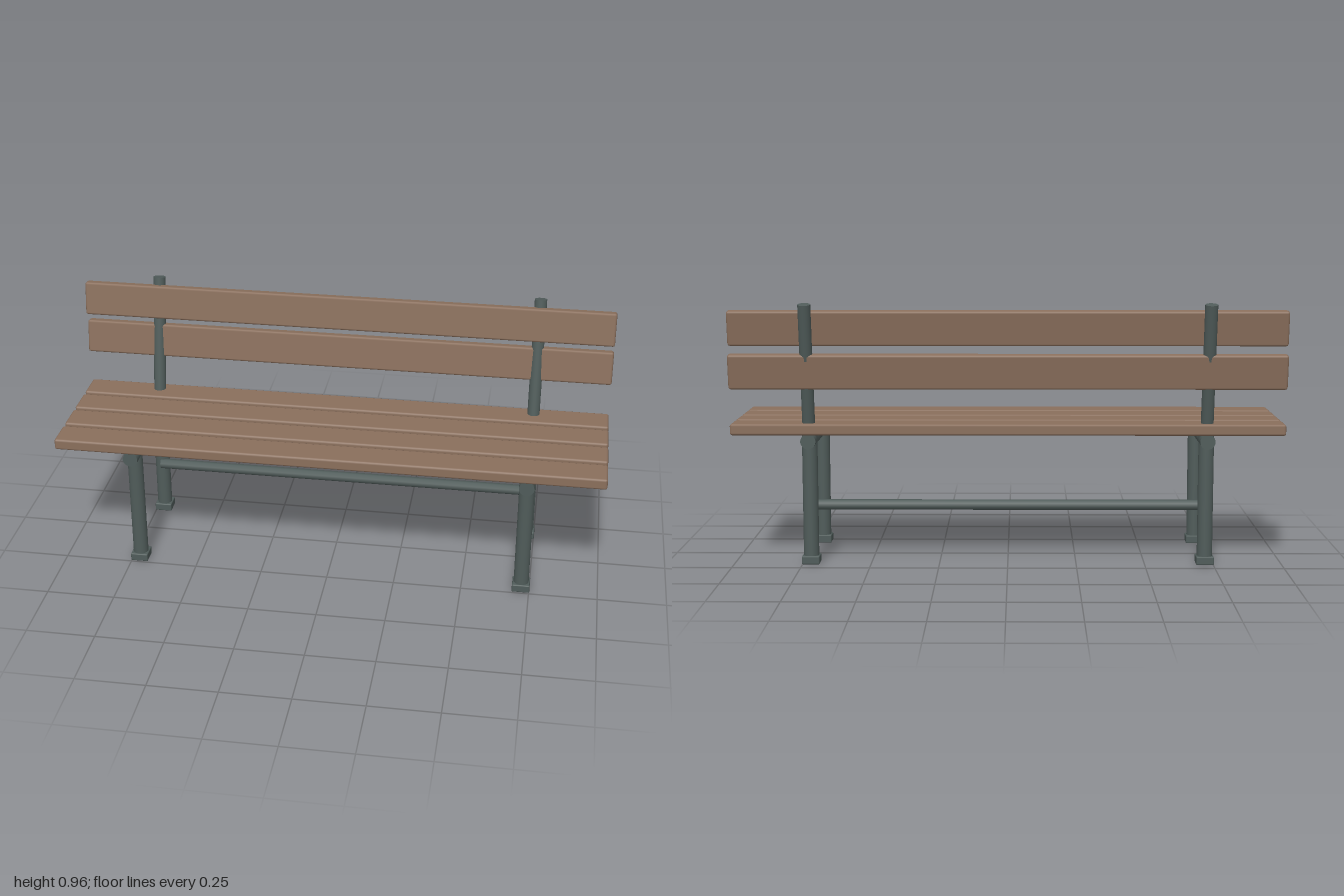
import * as THREE from 'three';
import { RoundedBoxGeometry } from 'three/addons/geometries/RoundedBoxGeometry.js';

const wood = new THREE.MeshStandardMaterial({ color: 0x8a6f5c });
const metal = new THREE.MeshStandardMaterial({ color: 0x505c5a });

export function createModel() {
  const bench = new THREE.Group();
  bench.name = 'bench';

  const add = (name, geometry, material, x, y, z) => {
    const mesh = new THREE.Mesh(geometry, material);
    mesh.name = name;
    mesh.position.set(x, y, z);
    bench.add(mesh);
    return mesh;
  };

  // Round bar running between two points
  const bar = (name, radius, from, to, sides = 20) => {
    const a = new THREE.Vector3(...from);
    const b = new THREE.Vector3(...to);
    const dir = b.clone().sub(a);
    const mid = a.clone().add(b).multiplyScalar(0.5);
    const geometry = new THREE.CylinderGeometry(radius, radius, dir.length(), sides);
    geometry.rotateY(Math.PI / sides);
    const mesh = add(name, geometry, metal, mid.x, mid.y, mid.z);
    mesh.quaternion.setFromUnitVectors(new THREE.Vector3(0, 1, 0), dir.normalize());
    return mesh;
  };

  // Seat slats
  for (let i = 0; i < 4; i++) {
    add('seatSlat', new RoundedBoxGeometry(2, 0.041, 0.115, 1, 0.008), wood, 0, 0.501, 0.23 - i * 0.1335);
  }

  // Backrest slats, leaning back
  for (const y of [0.712, 0.868]) {
    const slat = add('backSlat', new RoundedBoxGeometry(2, 0.126, 0.039, 1, 0.008), wood, 0, y, -0.225);
    slat.rotation.x = THREE.MathUtils.degToRad(-8);
  }

  // Two mirrored side frames
  for (const x of [-0.72, 0.72]) {
    for (const [side, z] of [['front', 0.213], ['back', -0.165]]) {
      bar(side + 'Leg', 0.028, [x, 0.015, z], [x, 0.483, z]);
      add(side + 'Foot', new RoundedBoxGeometry(0.065, 0.03, 0.065, 1, 0.004), metal, x, 0.015, z);
    }
    bar('seatRail', 0.0275, [x, 0.457, 0.28], [x, 0.457, -0.22]);
    bar('backPost', 0.023, [x, 0.48, -0.178], [x, 0.954, -0.264]);
  }

  // Stretcher joining the back legs
  bar('stretcher', 0.0195, [-0.72, 0.213, -0.14], [0.72, 0.213, -0.14], 8);

  return bench;
}
